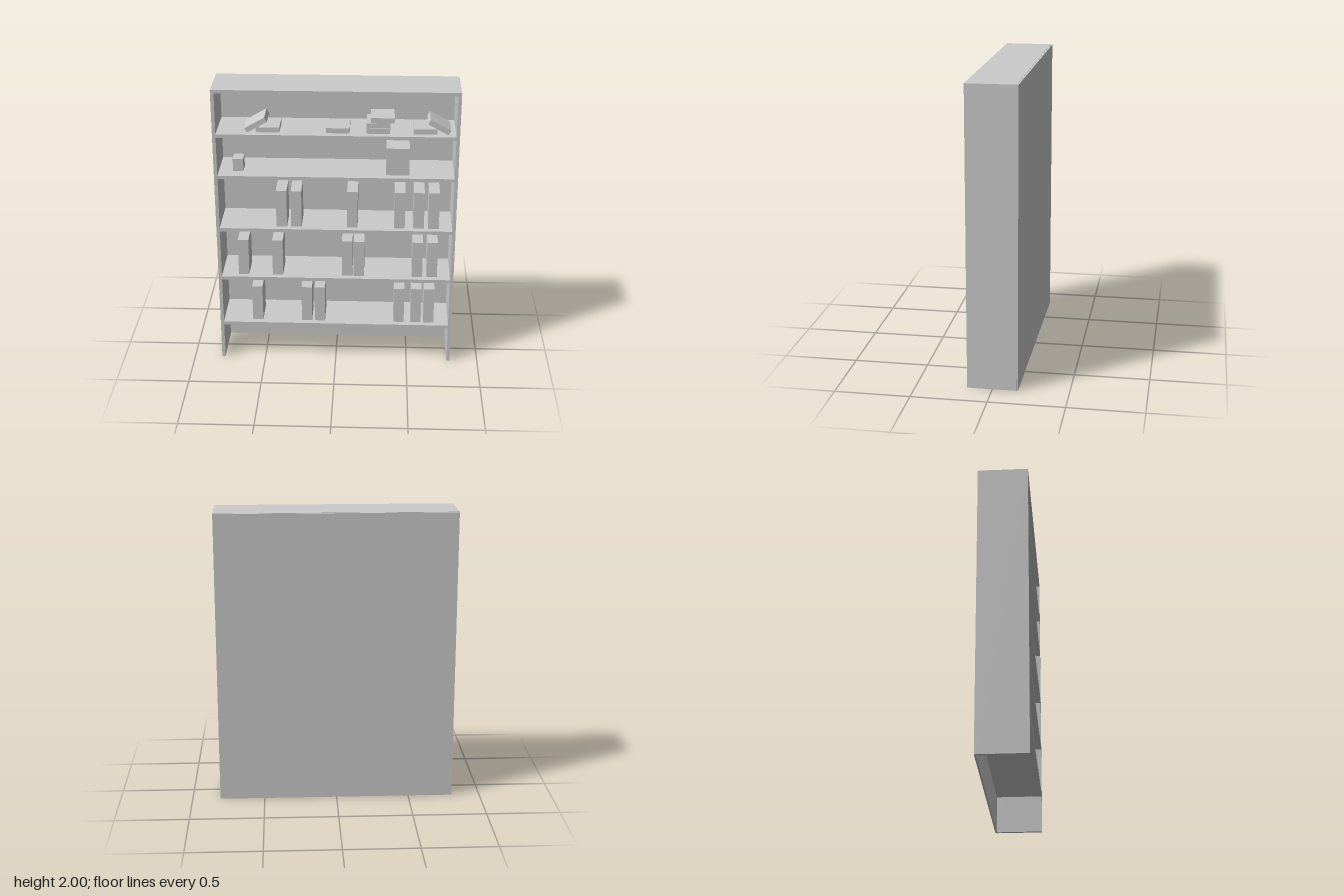
import * as THREE from 'three';

export function createModel() {
  const model = new THREE.Group();
  const material = new THREE.MeshStandardMaterial({ color: 0xcccccc, flatShading: true });

  // Box given by its extents on each axis
  function box(name, [x0, x1], [y0, y1], [z0, z1], parent = model) {
    const mesh = new THREE.Mesh(new THREE.BoxGeometry(x1 - x0, y1 - y0, z1 - z0), material);
    mesh.position.set((x0 + x1) / 2, (y0 + y1) / 2, (z0 + z1) / 2);
    mesh.name = name;
    parent.add(mesh);
    return mesh;
  }

  // Carcass: sides, thin back, top board
  const inner = 0.785, outer = 0.808, board = 0.024;
  const front = 0.166, back = -0.157;
  box('leftSide', [inner, outer], [0, 2], [back, front]);
  box('rightSide', [-outer, -inner], [0, 2], [back, front]);
  box('backPanel', [-0.805, 0.805], [0, 1.998], [-0.168, back]);
  box('topBoard', [-inner, inner], [2 - board, 2], [back, front]);

  // Shelves, given by the height of their upper face
  const shelfTops = [0.285, 0.645, 1.015, 1.4, 1.695];
  shelfTops.forEach((y, i) =>
    box(`shelf${i + 1}`, [-inner, inner], [y - board, y], [back, front]));

  // Upright books on the three lower shelves, given by their centres
  const rows = [
    [-0.547, -0.203, -0.112, 0.44, 0.559, 0.648],
    [-0.635, -0.4, 0.077, 0.158, 0.559, 0.66],
    [-0.367, -0.268, 0.111, 0.43, 0.559, 0.66],
  ];
  rows.forEach((centres, r) => {
    const row = new THREE.Group();
    row.name = `bookRow${r + 1}`;
    const y = shelfTops[r];
    for (const x of centres) box('uprightBook', [x - 0.036, x + 0.036], [y, y + 0.263], [-0.063, 0.125], row);
    model.add(row);
  });

  // Boxes on the fourth shelf
  box('smallBox', [-0.69, -0.62], [1.4, 1.488], [-0.01, 0.08]);
  box('largeBox', [0.333, 0.487], [1.4, 1.59], [-0.06, 0.113]);

  // Flat and stacked books on the top shelf: left edge, bottom
  const depth = [-0.054, 0.118];
  const flatBooks = [[-0.525, 1.695], [-0.065, 1.695], [0.2, 1.695], [0.2, 1.732], [0.228, 1.769], [0.508, 1.695]];
  for (const [x, y] of flatBooks) box('flatBook', [x, x + 0.155], [y, y + 0.035], depth);

  // Books leaning on the flat ones: centre x, tilt
  for (const [x, tilt] of [[-0.526, 0.52], [0.676, -0.5]]) {
    const book = box('leaningBook', [x - 0.077, x + 0.077], [1.727, 1.762], depth);
    book.rotation.z = tilt;
  }
  return model;
}
